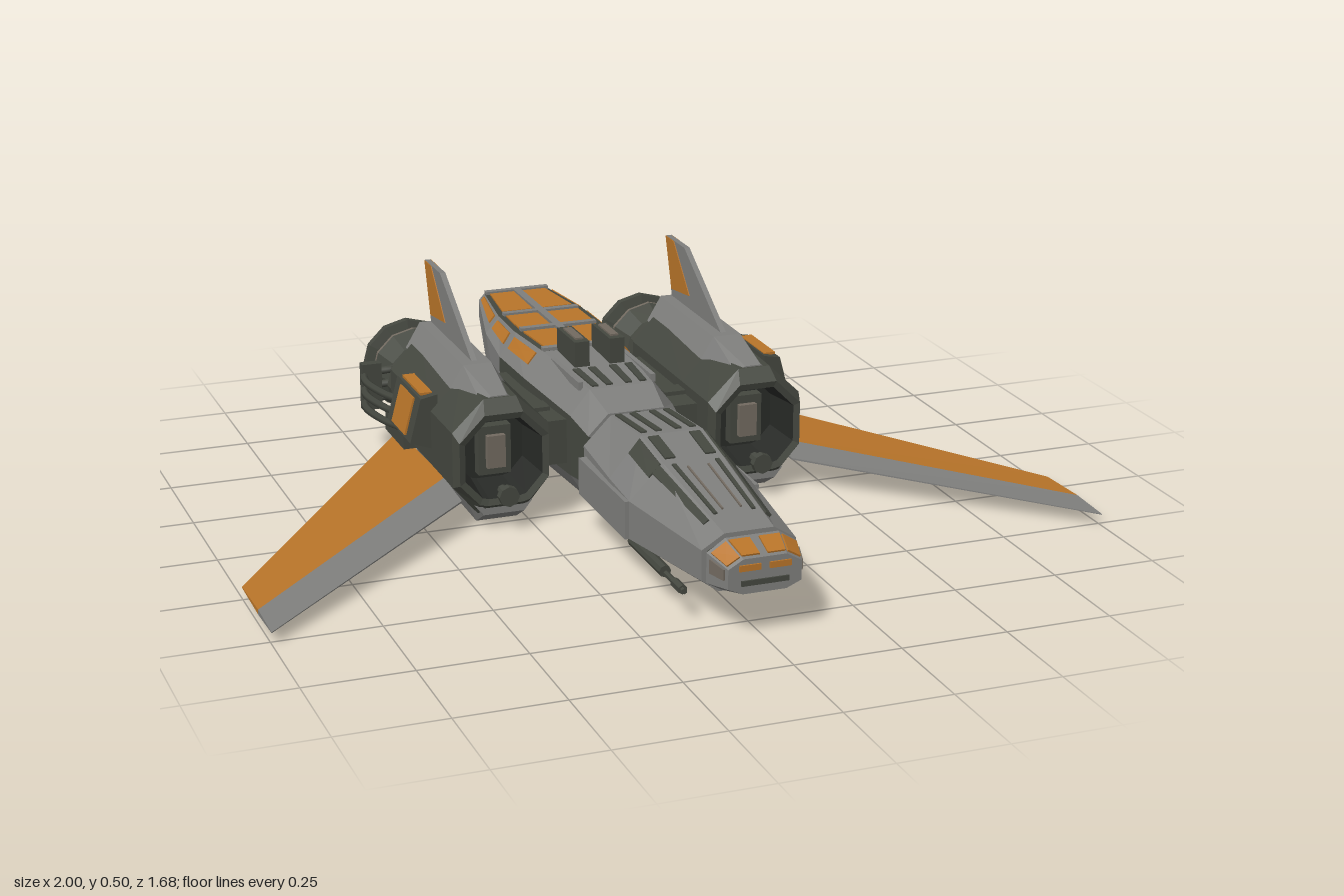
import * as THREE from 'three';

const mat = (name, color) => Object.assign(new THREE.MeshStandardMaterial({ color }), { name });
const grey = mat('hull grey', 0x7e7e7c);
const dark = mat('dark plating', 0x44473f);
const orange = mat('orange paint', 0xb87429);
const metal = mat('nozzle metal', 0x726a60);
const black = mat('recess black', 0x282a27);
const PALETTE = [grey, dark, orange, metal, black];

const V = (x, y, z) => new THREE.Vector3(x, y, z);

export function createModel() {
  const root = new THREE.Group();
  root.name = 'spacecraft';
  const add = (name, geo, material) => {
    const m = new THREE.Mesh(geo, material);
    m.name = name;
    root.add(m);
    return m;
  };

  // Closed flat-shaded solid through a list of equal point loops; paint picks a palette entry per face
  function skin(name, loops, material, paint) {
    const n = loops[0].length, tris = [];
    const mid = l => l.reduce((a, p) => a.add(p), V(0, 0, 0)).divideScalar(n);
    const first = loops[0], last = loops[loops.length - 1], c0 = mid(first), c1 = mid(last);
    for (let k = 0; k < n; k++) {
      const j = (k + 1) % n;
      tris.push([c0, first[j], first[k], -1, k], [c1, last[k], last[j], loops.length - 1, k]);
      for (let r = 0; r + 1 < loops.length; r++) {
        const a = loops[r], b = loops[r + 1];
        tris.push([a[k], a[j], b[j], r, k], [a[k], b[j], b[k], r, k]);
      }
    }
    const volume = tris.reduce((s, [a, b, c]) => s + a.clone().cross(b).dot(c), 0);
    const buckets = PALETTE.map(() => []);
    for (const [a, b, c, r, k] of tris) {
      buckets[paint ? paint(r, k) : 0].push(...(volume < 0 ? [a, c, b] : [a, b, c]));
    }
    const geo = new THREE.BufferGeometry().setFromPoints(buckets.flat());
    geo.computeVertexNormals();
    if (paint) {
      let start = 0;
      buckets.forEach((b, i) => {
        if (b.length) geo.addGroup(start, b.length, i);
        start += b.length;
      });
    }
    return add(name, geo, paint ? PALETTE : material);
  }

  // Symmetric hull from rows [z, half profile top to bottom]; facet -1 is the top, 0.. run down the side
  function loft(name, rows, material, cx = 0, paint) {
    const h = rows[0][1].length;
    const loops = rows.map(([z, half]) => [
      ...half.map(([x, y]) => V(cx + x, y, z)),
      ...[...half].reverse().map(([x, y]) => V(cx - x, y, z)),
    ]);
    return skin(name, loops, material, paint && ((r, k) => paint(r, Math.min(k, 2 * h - 2 - k))));
  }

  // Thin plate laid over four corners
  function plate(name, c, material, t = 0.004) {
    const n = c[1].clone().sub(c[0]).cross(c[3].clone().sub(c[0])).normalize().multiplyScalar(t);
    return skin(name, [c.map(p => p.clone().add(n)), c.map(p => p.clone().sub(n))], material);
  }

  // Mirrored plates lying on one facet of a loft (t runs backward, u runs across)
  function inlay(name, rows, r, f, [t0, t1, u0, u1], material) {
    const at = (row, i, s) => (i < 0 ? V(0, row[1][0][1], row[0]) : V(s * row[1][i][0], row[1][i][1], row[0]));
    for (const s of [1, -1]) {
      const p = (t, u) => at(rows[r], f, s).lerp(at(rows[r], f + 1, s), u)
        .lerp(at(rows[r + 1], f, s).lerp(at(rows[r + 1], f + 1, s), u), t);
      plate(name, [p(t0, u0), p(t0, u1), p(t1, u1), p(t1, u0)], material);
    }
  }

  const flat = g => {
    const f = g.index ? g.toNonIndexed() : g;
    f.computeVertexNormals();
    return f;
  };
  const box = (name, w, h, d, x, y, z, m) => add(name, new THREE.BoxGeometry(w, h, d).translate(x, y, z), m);
  const rod = (name, r, z0, z1, x, y, m, sides = 8) =>
    add(name, flat(new THREE.CylinderGeometry(r, r, z0 - z1, sides).rotateX(Math.PI / 2).translate(x, y, (z0 + z1) / 2)), m);

  // Nose and cockpit section
  const nose = [
    [0.84, [[0.05, 0.195], [0.085, 0.175], [0.085, 0.13], [0.05, 0.115]]],
    [0.765, [[0.062, 0.218], [0.105, 0.19], [0.105, 0.12], [0.07, 0.1]]],
  ];
  loft('noseTip', nose, grey);
  inlay('nosePanel', nose, 0, -1, [0.12, 0.85, 0.18, 0.98], orange);
  inlay('noseShoulderPanel', nose, 0, 0, [0.12, 0.85, 0.08, 0.9], orange);
  inlay('noseSidePanel', nose, 0, 1, [0.15, 0.8, 0.1, 0.6], metal);
  for (const s of [1, -1]) box('noseLamp', 0.05, 0.014, 0.006, s * 0.035, 0.175, 0.841, orange);
  box('noseSlot', 0.11, 0.012, 0.006, 0, 0.14, 0.841, dark);
  loft('noseCollar', [
    [0.77, [[0.055, 0.21], [0.098, 0.187], [0.098, 0.125], [0.065, 0.105]]],
    [0.74, [[0.055, 0.21], [0.098, 0.187], [0.098, 0.125], [0.065, 0.105]]],
  ], dark);
  const cockpit = [
    [0.75, [[0.058, 0.222], [0.11, 0.19], [0.11, 0.12], [0.07, 0.09]]],
    [0.42, [[0.072, 0.272], [0.152, 0.19], [0.152, 0.1], [0.1, 0.066]]],
    [0.29, [[0.075, 0.293], [0.152, 0.2], [0.152, 0.095], [0.1, 0.06]]],
    [0.09, [[0.075, 0.277], [0.142, 0.21], [0.142, 0.09], [0.09, 0.06]]],
  ];
  loft('cockpitHull', cockpit, grey);
  inlay('canopyRail', cockpit, 0, 0, [0.2, 1, 0.08, 0.3], dark);
  inlay('canopyRail', cockpit, 1, 0, [0, 0.95, 0.05, 0.4], dark);
  inlay('canopySeam', cockpit, 0, -1, [0.25, 0.95, 0.66, 0.8], dark);
  inlay('canopyStripe', cockpit, 0, -1, [0.3, 0.9, 0.32, 0.38], metal);
  inlay('canopyPatch', cockpit, 1, -1, [0.1, 0.9, 0.5, 0.85], dark);
  inlay('rearDeckSlot', cockpit, 2, -1, [0.1, 0.95, 0.22, 0.42], dark);
  inlay('rearDeckSlot', cockpit, 2, -1, [0.1, 0.95, 0.7, 0.9], dark);
  for (const s of [1, -1]) {
    box('cheekPanel', 0.02, 0.09, 0.31, s * 0.152, 0.145, 0.265, grey);
    // Guns under the cockpit
    rod('gunBody', 0.014, 0.6, 0.4, s * 0.135, 0.088, dark);
    rod('gunBarrel', 0.007, 0.71, 0.58, s * 0.133, 0.083, dark, 6);
    rod('gunMuzzle', 0.011, 0.7, 0.65, s * 0.133, 0.083, dark, 6);
  }
  rod('neck', 0.105, 0.1, 0.04, 0, 0.165, dark, 12);

  // Main body and tapered tail
  const body = [
    [0.06, [[0.07, 0.27], [0.12, 0.22], [0.12, 0.1], [0.07, 0.06]]],
    [-0.04, [[0.08, 0.3], [0.13, 0.24], [0.13, 0.09], [0.09, 0.03]]],
    [-0.32, [[0.1, 0.312], [0.152, 0.25], [0.152, 0.09], [0.09, 0.015]]],
    [-0.5, [[0.115, 0.312], [0.155, 0.25], [0.155, 0.09], [0.09, 0.015]]],
    [-0.635, [[0.112, 0.312], [0.147, 0.27], [0.14, 0.15], [0.08, 0.075]]],
    [-0.84, [[0.085, 0.312], [0.1, 0.295], [0.1, 0.25], [0.07, 0.23]]],
  ];
  loft('mainBody', body, null, 0, (r, f) => (f === -1 && r > 1 ? 1 : f === 1 && r < 3 ? 1 : 0));
  for (const r of [2, 3, 4]) {
    inlay('tailRoofPanel', body, r, -1, [0.12, 0.9, 0.12, 0.86], orange);
    inlay('tailShoulderPanel', body, r, 0, [0.12, 0.88, 0.15, 0.6], orange);
  }
  for (const z of [-0.33, -0.5, -0.635, -0.83]) {
    box('tailRib', 0.2 - (z < -0.8 ? 0.03 : 0), 0.014, 0.018, 0, 0.313, z, grey);
  }
  box('tailSpine', 0.02, 0.014, 0.5, 0, 0.313, -0.58, grey);
  inlay('deckSlot', body, 1, -1, [0.05, 0.48, 0.2, 0.4], dark);
  inlay('deckSlot', body, 1, -1, [0.05, 0.48, 0.65, 0.85], dark);
  for (const s of [1, -1]) {
    box('deckVent', 0.038, 0.075, 0.13, s * 0.045, 0.332, -0.255, dark);
    box('deckVentCap', 0.02, 0.006, 0.09, s * 0.045, 0.371, -0.255, metal);
    box('deckRail', 0.012, 0.02, 0.2, s * 0.092, 0.3, -0.17, grey);
  }

  for (const s of [1, -1]) {
    const cx = s * 0.32;
    // Strut joining body and engine housing
    box('strut', 0.1, 0.11, 0.39, s * 0.18, 0.17, -0.255, dark);
    box('strutRib', 0.06, 0.13, 0.05, s * 0.178, 0.17, -0.16, dark);

    // Engine housing with a recessed intake
    const ring = (k, y = 0.18) => [[0.05, y + 0.12], [0.115, y + 0.055], [0.115, y - 0.055], [0.065, y - 0.11], [0.045, y - 0.115]]
      .map(([x, yy]) => [x * k, y + (yy - y) * k]);
    const outer = top => [[0.04, top], [0.118, 0.25], [0.118, 0.115], [0.068, 0.055], [0.058, 0.045]];
    loft('engineHousing', [
      [-0.08, ring(0.72)], [0.035, ring(0.82)], [0.04, ring(0.95)],
      [0.01, outer(0.325)], [-0.16, outer(0.33)], [-0.5, outer(0.335)], [-0.525, ring(0.85)],
    ], null, cx, (r, f) => (r < 1 ? 4 : (f > 1 && r > 2) ? 0 : 1));
    box('intakeFrame', 0.08, 0.12, 0.03, cx, 0.18, -0.05, dark);
    box('intakeCore', 0.045, 0.08, 0.04, cx, 0.18, -0.04, metal);
    rod('intakeProbe', 0.013, 0.07, 0.02, cx, 0.1, dark);
    rod('intakeProbeHead', 0.025, 0.075, 0.055, cx, 0.1, dark);
    loft('housingRidge', [
      [0.005, [[0.02, 0.328], [0.045, 0.315]]],
      [-0.16, [[0.035, 0.355], [0.072, 0.295]]],
      [-0.52, [[0.035, 0.357], [0.072, 0.295]]],
    ], grey, cx);
    loft('housingKeel', [
      [0.03, [[0.07, 0.07], [0.05, 0.045]]],
      [-0.03, [[0.075, 0.07], [0.05, 0.01]]],
      [-0.48, [[0.075, 0.07], [0.05, 0.015]]],
      [-0.52, [[0.07, 0.08], [0.05, 0.05]]],
    ], grey, cx);

    // Tail fin
    const finLoop = (pts, t) => [1, -1].map(d => pts.map(([z, y]) => V(cx + d * t, y, z)));
    skin('fin', finLoop([[-0.16, 0.34], [-0.43, 0.505], [-0.555, 0.505], [-0.51, 0.34]], 0.007), grey);
    skin('finPaint', finLoop([[-0.39, 0.39], [-0.5, 0.504], [-0.555, 0.504], [-0.513, 0.375]], 0.009), orange);

    // Swept wing: grey leading edge, orange rear
    const wing = (z0, t0, z1, t1) => (x, y, k) => [
      V(s * x, y + t0 * k, z0(x)), V(s * x, y + t1 * k, z1(x)), V(s * x, y - t1 * k, z1(x)), V(s * x, y - t0 * k, z0(x))];
    const line = (a, b) => x => a + (b - a) * (x - 0.42) / 0.58;
    const lead = line(0.02, 0.515), mid = line(-0.12, 0.395), trail = line(-0.51, 0.245);
    const parts = [['wingLeadingEdge', wing(lead, 0.002, mid, 0.012), grey], ['wingPanel', wing(mid, 0.012, trail, 0.002), orange]];
    for (const [name, sec, m] of parts) skin(name, [sec(0.42, 0.082, 1), sec(1, 0.038, 0.5)], m);

    // Side pod and its hoses
    const pod = z => [[0.42, 0.29], [0.462, 0.282], [0.49, 0.175], [0.42, 0.15]].map(([x, y]) => V(s * x, y, z));
    skin('sidePod', [pod(-0.16), pod(-0.355)], dark);
    plate('podPanel', [V(s * 0.465, 0.273, -0.2), V(s * 0.489, 0.183, -0.2), V(s * 0.489, 0.183, -0.31), V(s * 0.465, 0.273, -0.31)], orange);
    box('podTopPanel', 0.03, 0.006, 0.15, s * 0.442, 0.288, -0.255, orange);
    for (const y of [0.21, 0.175, 0.14]) {
      const path = new THREE.CatmullRomCurve3([V(s * 0.455, y + 0.01, -0.34), V(s * 0.475, y, -0.44), V(s * 0.482, y - 0.01, -0.58), V(s * 0.465, y - 0.01, -0.63), V(s * 0.39, y - 0.005, -0.635)]);
      add('hose', new THREE.TubeGeometry(path, 16, 0.01, 6), dark);
    }
    box('hoseClamp', 0.05, 0.12, 0.025, s * 0.455, 0.17, -0.625, dark);
    box('lowerTank', 0.04, 0.05, 0.16, s * 0.435, 0.12, -0.42, dark);

    // Engine and nozzle
    const lathe = (name, pts, m) => add(name, flat(new THREE.LatheGeometry(pts.map(([r, d]) => new THREE.Vector2(r, d)), 12)
      .rotateX(-Math.PI / 2).translate(cx, 0.175, 0)), m);
    lathe('engineCore', [[0.08, 0.5], [0.08, 0.56], [0.1, 0.565], [0.1, 0.6], [0.088, 0.605], [0.086, 0.635], [0.11, 0.695]], dark);
    lathe('nozzleCone', [[0.11, 0.695], [0.11, 0.705], [0.085, 0.745]], metal);
    lathe('nozzleRing', [[0.085, 0.745], [0.116, 0.752], [0.116, 0.772], [0.1, 0.776]], dark);
    lathe('nozzleLiner', [[0.1, 0.776], [0.085, 0.7]], metal);
    lathe('nozzleBack', [[0.085, 0.7], [0, 0.7]], black);
    box('nozzleCore', 0.085, 0.085, 0.04, cx, 0.175, -0.71, grey);
  }
  return root;
}
